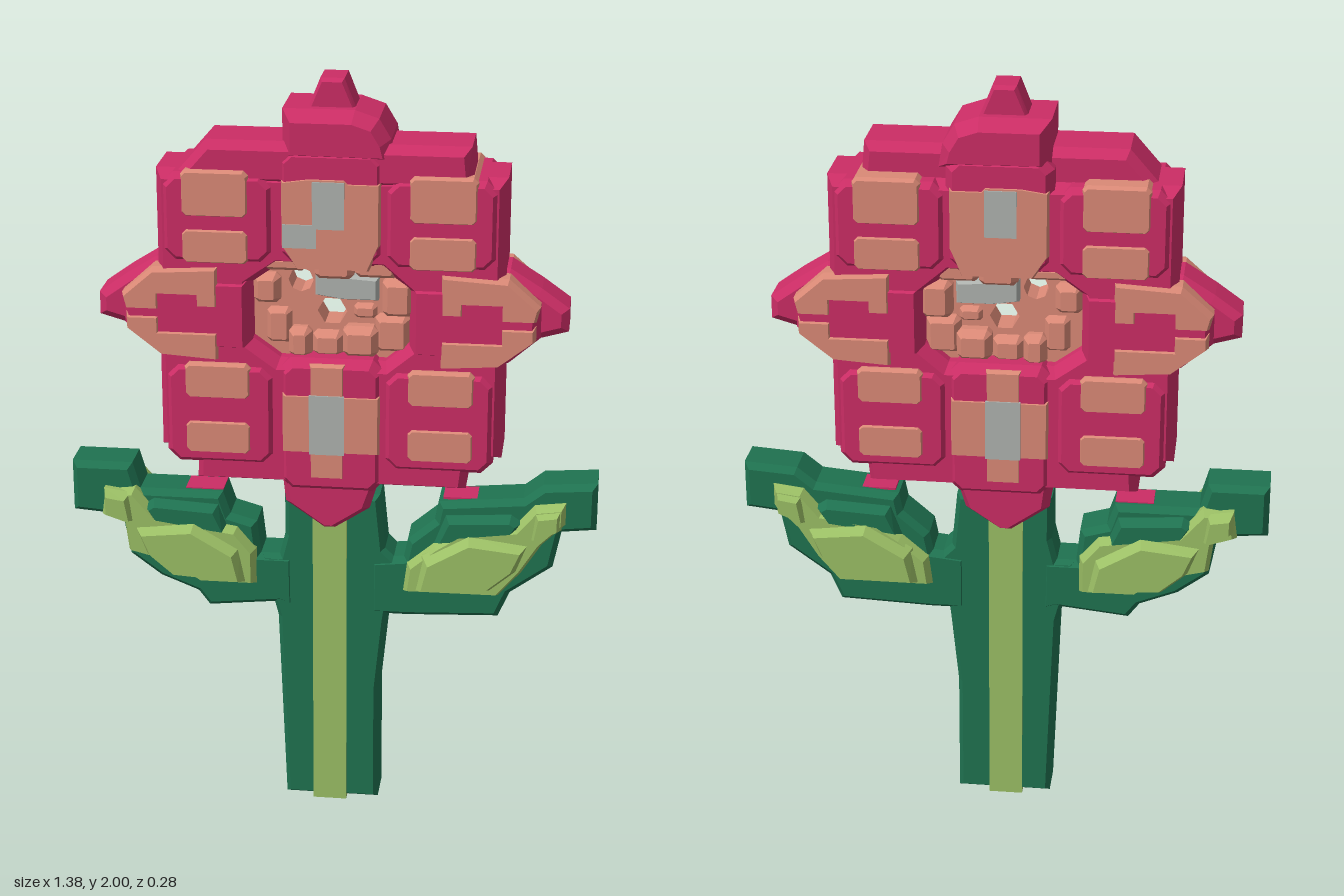
import * as THREE from 'three';

const mat = (name, color) => Object.assign(new THREE.MeshStandardMaterial({ color }), { name });
const M = {
  crimson: mat('crimson petal', 0xcb2d65),
  salmon: mat('salmon highlight', 0xda8976),
  grey: mat('pale grey', 0xaeb2ae),
  green: mat('dark green', 0x1f7250),
  lime: mat('light green', 0x9bbf65),
};

const vec = p => p.map(([x, y]) => new THREE.Vector2(x, y));
const rect = (x0, x1, y0, y1) => [[x0, y0], [x1, y0], [x1, y1], [x0, y1]];
const flip = p => p.map(([x, y]) => [-x, y]).reverse();
const ngon = (x, y, r, n) => Array.from({ length: n }, (_, i) => {
  const a = (i / n) * Math.PI * 2;
  return [x + r * Math.cos(a), y + r * Math.sin(a)];
});

// rectangle with its corners cut by c
const chip = (x0, x1, y0, y1, c = 0.02) => [
  [x0 + c, y0], [x1 - c, y0], [x1, y0 + c], [x1, y1 - c],
  [x1 - c, y1], [x0 + c, y1], [x0, y1 - c], [x0, y0 + c]];

export function createModel() {
  const root = new THREE.Group();
  root.name = 'flower';

  // chamfered slab reaching from z = -half to z = +half
  function slab(parent, name, material, points, half, bevel = 0.02, inset = bevel, holes = []) {
    const shape = new THREE.Shape(vec(points));
    holes.forEach(h => shape.holes.push(new THREE.Path(vec(h))));
    const geo = new THREE.ExtrudeGeometry(shape, {
      depth: 2 * (half - bevel), bevelEnabled: bevel > 0, bevelThickness: bevel,
      bevelSize: inset, bevelOffset: -inset, bevelSegments: 1, steps: 1,
    });
    geo.translate(0, 0, bevel - half);
    const mesh = new THREE.Mesh(geo, material);
    mesh.name = name;
    parent.add(mesh);
    return mesh;
  }
  const group = name => {
    const g = new THREE.Group();
    g.name = name;
    root.add(g);
    return g;
  };

  // stem with a light stripe on front, back and underside
  const stem = group('stem');
  slab(stem, 'stalk', M.green, [[-0.125, 0.005], [0.125, 0.005], [0.125, 0.34], [0.145, 0.54],
    [0.17, 0.72], [0.14, 0.75], [0.125, 0.9], [-0.125, 0.9], [-0.125, 0.78], [-0.14, 0.72],
    [-0.19, 0.72], [-0.145, 0.54]], 0.065, 0.018, 0.012);
  slab(stem, 'stripe', M.lime, rect(-0.05, 0.04, 0, 0.88), 0.068, 0);

  // leaves: dark blade, swollen middle with light faces, light knob near the tip
  const leaves = group('leaves');
  slab(leaves, 'rightLeafBlade', M.green, [[-0.1, 0.57], [-0.14, 0.58], [-0.33, 0.56], [-0.36, 0.6],
    [-0.46, 0.64], [-0.54, 0.7], [-0.56, 0.81], [-0.69, 0.82], [-0.69, 0.96], [-0.53, 0.96],
    [-0.51, 0.89], [-0.29, 0.89], [-0.27, 0.83], [-0.2, 0.81], [-0.19, 0.72], [-0.1, 0.72]].reverse(),
  0.068, 0.02, 0.015);
  slab(leaves, 'leftLeafBlade', M.green, [[0.1, 0.56], [0.2, 0.56], [0.44, 0.57], [0.47, 0.64],
    [0.58, 0.72], [0.6, 0.82], [0.69, 0.83], [0.69, 0.96], [0.55, 0.95], [0.5, 0.91],
    [0.28, 0.89], [0.27, 0.84], [0.2, 0.78], [0.19, 0.73], [0.1, 0.72]], 0.068, 0.02, 0.015);
  slab(leaves, 'rightLeafMiddle', M.lime, [[-0.2, 0.64], [-0.2, 0.74], [-0.25, 0.8], [-0.46, 0.83],
    [-0.52, 0.9], [-0.6, 0.89], [-0.61, 0.82], [-0.55, 0.8], [-0.54, 0.72], [-0.42, 0.69],
    [-0.35, 0.64]], 0.1, 0.03, 0.012);
  slab(leaves, 'leftLeafMiddle', M.lime, [[0.19, 0.64], [0.44, 0.64], [0.5, 0.71], [0.55, 0.79],
    [0.61, 0.85], [0.61, 0.91], [0.53, 0.9], [0.48, 0.84], [0.33, 0.82], [0.27, 0.78],
    [0.2, 0.72]], 0.1, 0.03, 0.012);
  for (const s of [-1, 1]) {
    const side = (name, m, p, h, b, i) => slab(leaves, name, m, s > 0 ? p : flip(p), h, b, i);
    side('leafShoulder', M.green, [[0.27, 0.78], [0.47, 0.8], [0.5, 0.85], [0.47, 0.87], [0.3, 0.86]], 0.1, 0.03, 0.015);
    side('leafRidge', M.lime, [[0.22, 0.65], [0.42, 0.66], [0.49, 0.72], [0.52, 0.8], [0.36, 0.82],
      [0.24, 0.75]], 0.133, 0.045, 0.02);
    side('leafTipKnob', M.lime, [[0.52, 0.81], [0.6, 0.84], [0.6, 0.9], [0.53, 0.89]], 0.125, 0.04, 0.012);
    const fleck = new THREE.Mesh(new THREE.BoxGeometry(0.1, 0.006, 0.08), M.crimson);
    fleck.name = 'leafFleck';
    fleck.position.set(s * 0.34, s > 0 ? 0.896 : 0.89, 0);
    leaves.add(fleck);
  }

  // flower head: thick body with a well through the middle
  const head = group('flowerHead');
  const well = [[-0.2, 1.33], [-0.13, 1.28], [0.14, 1.28], [0.2, 1.33], [0.2, 1.47], [0.13, 1.53],
    [-0.13, 1.53], [-0.2, 1.48]];
  slab(head, 'body', M.crimson, [[-0.35, 0.94], [0.35, 0.94], [0.36, 1.03], [0.44, 1.03], [0.44, 1.77],
    [-0.44, 1.77], [-0.44, 1.03], [-0.345, 1.03]], 0.117, 0.045, 0.02, [well.slice().reverse()]);
  slab(head, 'roof', M.crimson, [[-0.38, 1.74], [0.36, 1.74], [0.35, 1.85], [-0.31, 1.85],
    [-0.38, 1.77]], 0.098, 0.03, 0.02).position.z = 0.024;

  // points at the top, bottom and both sides
  slab(head, 'topPoint', M.crimson, [[-0.12, 1.8], [0.16, 1.8], [0.15, 1.86], [0.12, 1.91],
    [0.06, 1.93], [-0.06, 1.93], [-0.12, 1.93]], 0.13, 0.05, 0.025);
  slab(head, 'topTip', M.crimson, [[-0.07, 1.9], [0.07, 1.9], [0.03, 2], [-0.03, 2]], 0.058, 0.015, 0.008);
  slab(head, 'bottomPoint', M.crimson, [[-0.13, 0.97], [-0.12, 0.88], [-0.02, 0.81], [0.01, 0.81],
    [0.1, 0.87], [0.13, 0.97]], 0.105, 0.04, 0.02);
  for (const s of [-1, 1]) {
    const side = (name, m, p, h, b, i) => slab(head, name, m, s > 0 ? p : flip(p), h, b, i);
    side('sidePoint', M.crimson, [[0.4, 1.27], [0.45, 1.28], [0.53, 1.35], [0.6, 1.37], [0.6, 1.43],
      [0.53, 1.48], [0.45, 1.53], [0.4, 1.53]], 0.068, 0.02, 0.02);
    side('sidePetal', M.crimson, [[0.2, 1.3], [0.42, 1.3], [0.53, 1.36], [0.53, 1.45], [0.45, 1.5],
      [0.2, 1.5]], 0.127, 0.05, 0.02);
    // corner petals
    side('upperPetal', M.crimson, chip(0.14, 0.42, 1.54, 1.77, 0.03), 0.13, 0.02, 0.015);
    side('lowerPetal', M.crimson, chip(0.14, 0.42, 1.0, 1.27, 0.03), 0.13, 0.02, 0.015);

    // salmon knobs along each petal's edges
    side('upperKnob', M.salmon, chip(0.2, 0.37, 1.66, 1.78, 0.012), 0.138, 0.015, 0.006);
    side('upperInnerKnob', M.salmon, chip(0.2, 0.37, 1.54, 1.63, 0.012), 0.138, 0.015, 0.006);
    side('lowerInnerKnob', M.salmon, chip(0.2, 0.37, 1.18, 1.275, 0.012), 0.138, 0.015, 0.006);
    side('lowerKnob', M.salmon, chip(0.2, 0.37, 1.03, 1.12, 0.012), 0.138, 0.015, 0.006);
    side('sideUpperKnob', M.salmon, [[0.28, 1.42], [0.34, 1.42], [0.34, 1.45], [0.43, 1.45],
      [0.43, 1.41], [0.52, 1.41], [0.53, 1.45], [0.45, 1.52], [0.28, 1.53]], 0.136, 0.03, 0.008);
    side('sideLowerKnob', M.salmon, [[0.28, 1.28], [0.43, 1.29], [0.52, 1.36], [0.52, 1.4],
      [0.43, 1.4], [0.43, 1.36], [0.28, 1.36]], 0.136, 0.03, 0.008);
  }

  // centre column with grey stripes
  slab(head, 'upperColumn', M.crimson, chip(-0.13, 0.14, 1.54, 1.84, 0.03), 0.13, 0.03, 0.02);
  slab(head, 'upperColumnKnob', M.salmon, [[-0.08, 1.53], [0.1, 1.53], [0.13, 1.6], [0.13, 1.76],
    [0.05, 1.76], [0.04, 1.77], [-0.05, 1.77], [-0.12, 1.76], [-0.12, 1.59]], 0.134, 0.02, 0.006);
  slab(head, 'upperStripe', M.grey, rect(-0.04, 0.04, 1.64, 1.76), 0.138, 0);
  slab(head, 'upperStripeFoot', M.grey, rect(-0.115, -0.03, 1.59, 1.65), 0.004, 0).position.z = 0.134;
  slab(head, 'lowerColumn', M.crimson, chip(-0.13, 0.14, 0.93, 1.29, 0.03), 0.128, 0.03, 0.02);
  slab(head, 'lowerColumnKnob', M.salmon, [[-0.05, 0.97], [0.04, 0.97], [0.04, 1.04], [0.13, 1.04],
    [0.13, 1.2], [0.04, 1.2], [0.04, 1.28], [-0.05, 1.28], [-0.05, 1.2], [-0.12, 1.2],
    [-0.12, 1.04], [-0.05, 1.04]], 0.132, 0.015, 0.005);
  slab(head, 'lowerStripe', M.grey, rect(-0.05, 0.04, 1.04, 1.2), 0.136, 0);

  // sunken centre with two openings and rough salmon lumps
  slab(head, 'centreFloor', M.salmon, rect(-0.22, 0.22, 1.27, 1.54), 0.045, 0, 0,
    [ngon(0, 1.4, 0.038, 6).reverse(), ngon(-0.08, 1.48, 0.032, 8).reverse()]);
  [
    [-0.17, -0.1, 1.31, 1.41, 0.07], [-0.11, -0.05, 1.28, 1.36, 0.09], [-0.05, 0.03, 1.28, 1.35, 0.075],
    [0.03, 0.12, 1.29, 1.37, 0.1], [0.11, 0.2, 1.3, 1.4, 0.08], [0.13, 0.21, 1.4, 1.5, 0.1],
    [0.05, 0.12, 1.38, 1.43, 0.065], [-0.2, -0.13, 1.42, 1.5, 0.085], [-0.04, 0.06, 1.5, 1.56, 0.12],
    [0.06, 0.17, 1.5, 1.56, 0.1], [-0.18, -0.06, 1.515, 1.56, 0.11],
  ].forEach(([x0, x1, y0, y1, h]) =>
    slab(head, 'centreLump', M.salmon, chip(x0, x1, y0, y1, 0.012), h, 0.03, 0.015));
  slab(head, 'centreBar', M.grey, [[-0.04, 1.45], [0.03, 1.44], [0.12, 1.44], [0.12, 1.5],
    [-0.04, 1.51]], 0.085, 0.015, 0.006);

  return root;
}
